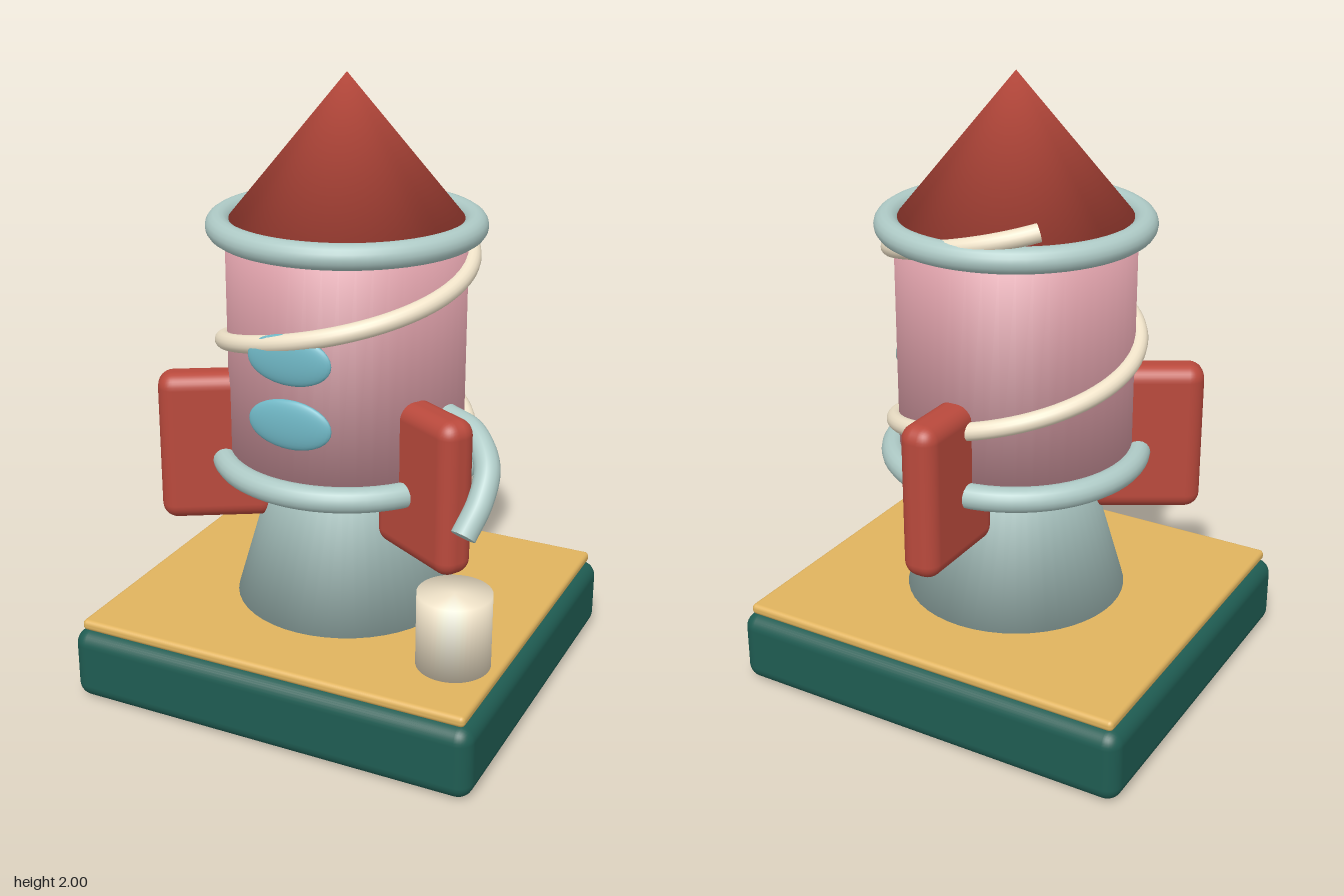
import * as THREE from 'three';
import { mergeVertices } from 'three/addons/utils/BufferGeometryUtils.js';
import { RoundedBoxGeometry } from 'three/addons/geometries/RoundedBoxGeometry.js';

const COLORS = {
  green: 0x1f5c52, gold: 0xe0b35e, blue: 0xaecac6, pink: 0xdc9fa8,
  red: 0xb9493c, aqua: 0x70b8c6, cream: 0xf0e3c9,
};

// Capped cylinder or cone whose shading rolls softly over the rims
function softCylinder(rTop, rBottom, height) {
  const geometry = new THREE.CylinderGeometry(rTop, rBottom, height, 48);
  geometry.deleteAttribute('normal');
  geometry.deleteAttribute('uv');
  const welded = mergeVertices(geometry, 1e-4);
  welded.computeVertexNormals();
  const { position, normal } = welded.attributes;
  const slant = Math.hypot(height, rBottom - rTop);
  const n = new THREE.Vector3();
  for (let i = 0; i < position.count; i++) {
    // Rim normals average the wall and the cap; the middles point straight up or down
    const x = position.getX(i), z = position.getZ(i), r = Math.hypot(x, z);
    n.set(0, Math.sign(position.getY(i)), 0);
    if (r > 1e-3) {
      const out = height / slant / r;
      n.add(new THREE.Vector3(x * out, (rBottom - rTop) / slant, z * out)).normalize();
    }
    normal.setXYZ(i, n.x, n.y, n.z);
  }
  return welded;
}

// Helix wound around the body
class Helix extends THREE.Curve {
  getPoint(t, target = new THREE.Vector3()) {
    const turns = 1.36 * t, a = turns * Math.PI * 2;
    return target.set(0.392 * Math.cos(a), 0.825 + 0.58 * turns, -0.392 * Math.sin(a));
  }
}

export function createModel() {
  const model = new THREE.Group();
  model.name = 'rocketOnStand';

  function add(name, geometry, color, x = 0, y = 0, z = 0, parent = model) {
    const mesh = new THREE.Mesh(geometry, new THREE.MeshStandardMaterial({ color: COLORS[color] }));
    mesh.name = name;
    mesh.position.set(x, y, z);
    parent.add(mesh);
    return mesh;
  }

  // Tube with flat ends
  function addTube(name, curve, radius, segments, color) {
    const group = new THREE.Group();
    group.name = name;
    model.add(group);
    add(name + 'Tube', new THREE.TubeGeometry(curve, segments, radius, 16), color, 0, 0, 0, group);
    for (const t of [0, 1]) {
      const p = curve.getPointAt(t);
      const out = curve.getTangentAt(t).multiplyScalar(t ? 1 : -1);
      const cap = add(name + 'End', new THREE.CircleGeometry(radius, 16), color, p.x, p.y, p.z, group);
      cap.quaternion.setFromUnitVectors(new THREE.Vector3(0, 0, 1), out);
    }
  }

  // Stand
  add('base', new RoundedBoxGeometry(1.385, 0.24, 1.245, 4, 0.05), 'green', 0, 0.12, 0);
  add('basePlate', new RoundedBoxGeometry(1.33, 0.036, 1.195, 3, 0.015), 'gold', 0, 0.258, 0);

  // Skirt, body and pointed nose
  add('skirt', softCylinder(0.22, 0.365, 0.505), 'blue', 0, 0.5275, 0);
  add('body', softCylinder(0.38, 0.38, 0.76), 'pink', 0, 1.16, 0);
  add('nose', softCylinder(0, 0.38, 0.46), 'red', 0, 1.77, 0);

  // Rings at the bottom and top of the body
  for (const [name, y] of [['lowerRing', 0.772], ['upperRing', 1.535]]) {
    add(name, new THREE.TorusGeometry(0.4, 0.04, 16, 64).rotateX(Math.PI / 2), 'blue', 0, y, 0);
  }

  // Three fins, one at the back
  for (let i = 0; i < 3; i++) {
    const pivot = new THREE.Group();
    pivot.name = 'fin' + (i + 1);
    pivot.rotation.y = i * Math.PI * 2 / 3;
    model.add(pivot);
    add('finPanel', new RoundedBoxGeometry(0.122, 0.5, 0.37, 4, 0.05), 'red', 0, 0.81, -0.42, pivot);
  }

  // Oval windows
  for (const y of [1.0, 1.205]) {
    add('window', new THREE.SphereGeometry(1, 32, 16).scale(0.14, 0.08, 0.022), 'aqua', 0, y, 0.393);
  }

  // Coil around the body
  addTube('coil', new Helix(), 0.028, 120, 'cream');

  // Bent spout and the cup below it
  const spout = new THREE.CatmullRomCurve3([
    [0.38, 0.98, 0.07], [0.49, 0.965, 0.13], [0.568, 0.9, 0.215], [0.578, 0.82, 0.29], [0.554, 0.73, 0.36],
  ].map((p) => new THREE.Vector3(...p)));
  addTube('spout', spout, 0.04, 40, 'blue');
  add('cup', softCylinder(0.115, 0.115, 0.24), 'cream', 0.536, 0.426, 0.367);

  return model;
}
